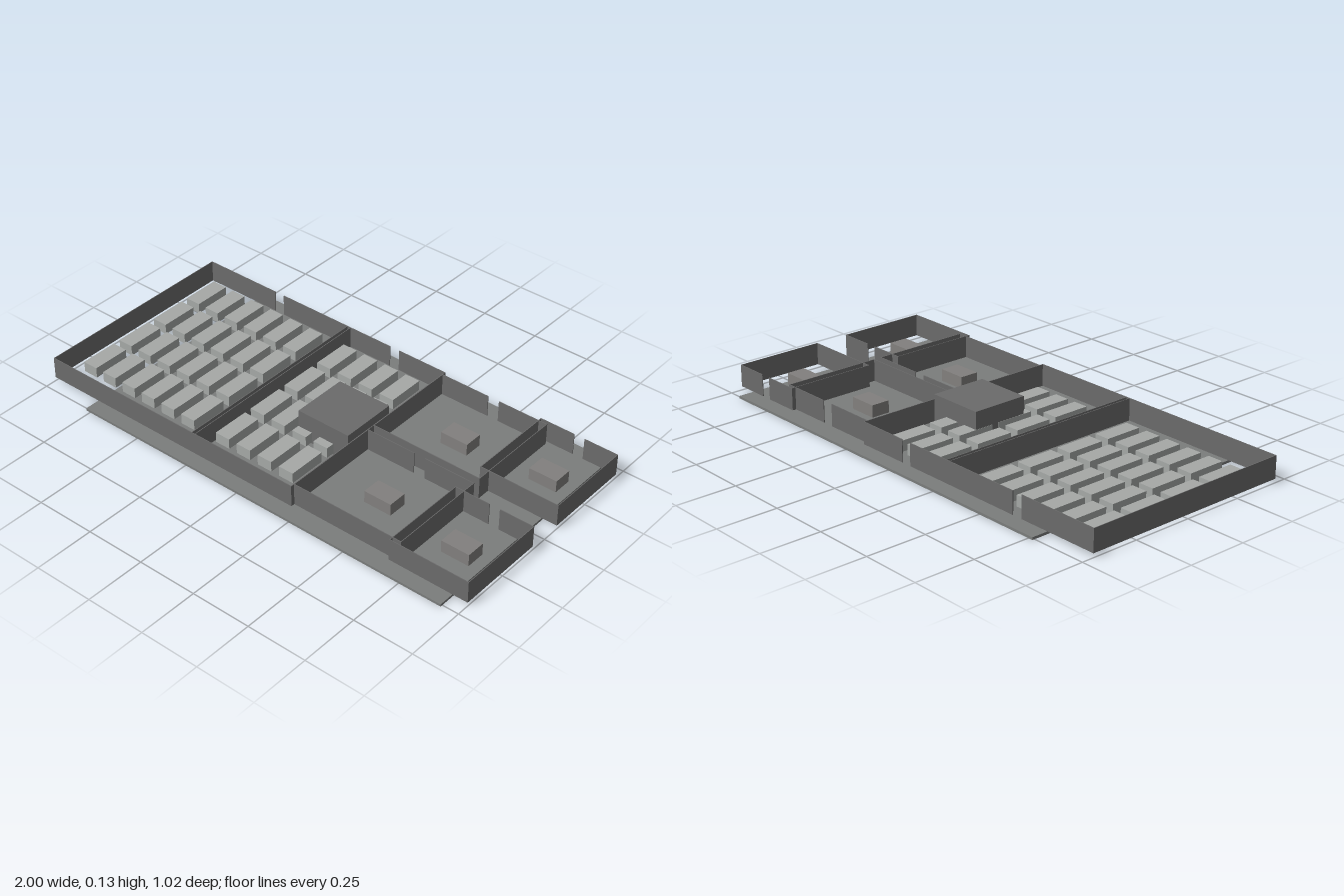
import * as THREE from 'three';

const paint = (color) => new THREE.MeshStandardMaterial({ color });
const floorPaint = paint(0x7b7d7c), wallPaint = paint(0x6b6b6b);
const deskPaint = paint(0xa6a9a7), tablePaint = paint(0x82807e);
const WALL = 0.003, WALL_Y0 = 0.016, WALL_Y1 = 0.107;

// Box given by its extents on each axis
function block(parent, name, material, x0, x1, y0, y1, z0, z1) {
  const mesh = new THREE.Mesh(new THREE.BoxGeometry(x1 - x0, y1 - y0, z1 - z0), material);
  mesh.position.set((x0 + x1) / 2, (y0 + y1) / 2, (z0 + z1) / 2);
  mesh.name = name;
  parent.add(mesh);
}

// Four thin walls around a room, with a doorway in the back wall
function room(parent, name, x0, x1, z0, z1, door0, door1) {
  const g = new THREE.Group();
  g.name = name;
  const wall = (n, a, b, c, d) => block(g, n, wallPaint, a, b, WALL_Y0, WALL_Y1, c, d);
  wall('rightWall', x0, x0 + WALL, z0, z1);
  wall('leftWall', x1 - WALL, x1, z0, z1);
  wall('frontWall', x0 + WALL, x1 - WALL, z1 - WALL, z1);
  wall('backWallRight', x0 + WALL, door0, z0, z0 + WALL);
  wall('backWallLeft', door1, x1 - WALL, z0, z0 + WALL);
  parent.add(g);
  return g;
}

// Rows of pupil desks
function deskGrid(parent, firstX, columns) {
  for (let i = 0; i < columns; i++) {
    for (let j = 0; j < 4; j++) {
      const x = firstX + i * 0.1038, z = -0.313 + j * 0.1935;
      block(parent, 'desk', deskPaint, x - 0.033, x + 0.033, 0.016, 0.06, z - 0.081, z + 0.081);
    }
  }
}

// Single table in a small room
function table(parent, x, z) {
  block(parent, 'officeTable', tablePaint, x - 0.06, x + 0.06, 0.016, 0.066, z - 0.04, z + 0.04);
}

export function createModel() {
  const model = new THREE.Group();
  model.name = 'floorPlan';

  block(model, 'floorSlab', floorPaint, -0.77, 0.932, 0, 0.01, -0.51, 0.51);

  // Two classrooms, overlapping slightly at the partition
  const large = room(model, 'largeClassroom', -1, -0.254, -0.45, 0.45, -0.65, -0.605);
  deskGrid(large, -0.908, 6);
  const small = room(model, 'smallClassroom', -0.273, 0.214, -0.45, 0.45, -0.055, -0.01);
  deskGrid(small, -0.212, 4);

  // Central block
  block(model, 'centralBlock', wallPaint, -0.036, 0.202, 0.007, 0.132, -0.12, 0.12);

  // Middle offices
  table(room(model, 'backOffice', 0.212, 0.699, -0.434, -0.016, 0.43, 0.48), 0.457, -0.226);
  table(room(model, 'frontOffice', 0.212, 0.699, 0.016, 0.434, 0.43, 0.48), 0.457, 0.223);

  // End offices
  table(room(model, 'backEndOffice', 0.659, 1, -0.45, -0.073, 0.81, 0.855), 0.831, -0.263);
  table(room(model, 'frontEndOffice', 0.659, 1, 0.073, 0.45, 0.81, 0.855), 0.831, 0.26);

  return model;
}
